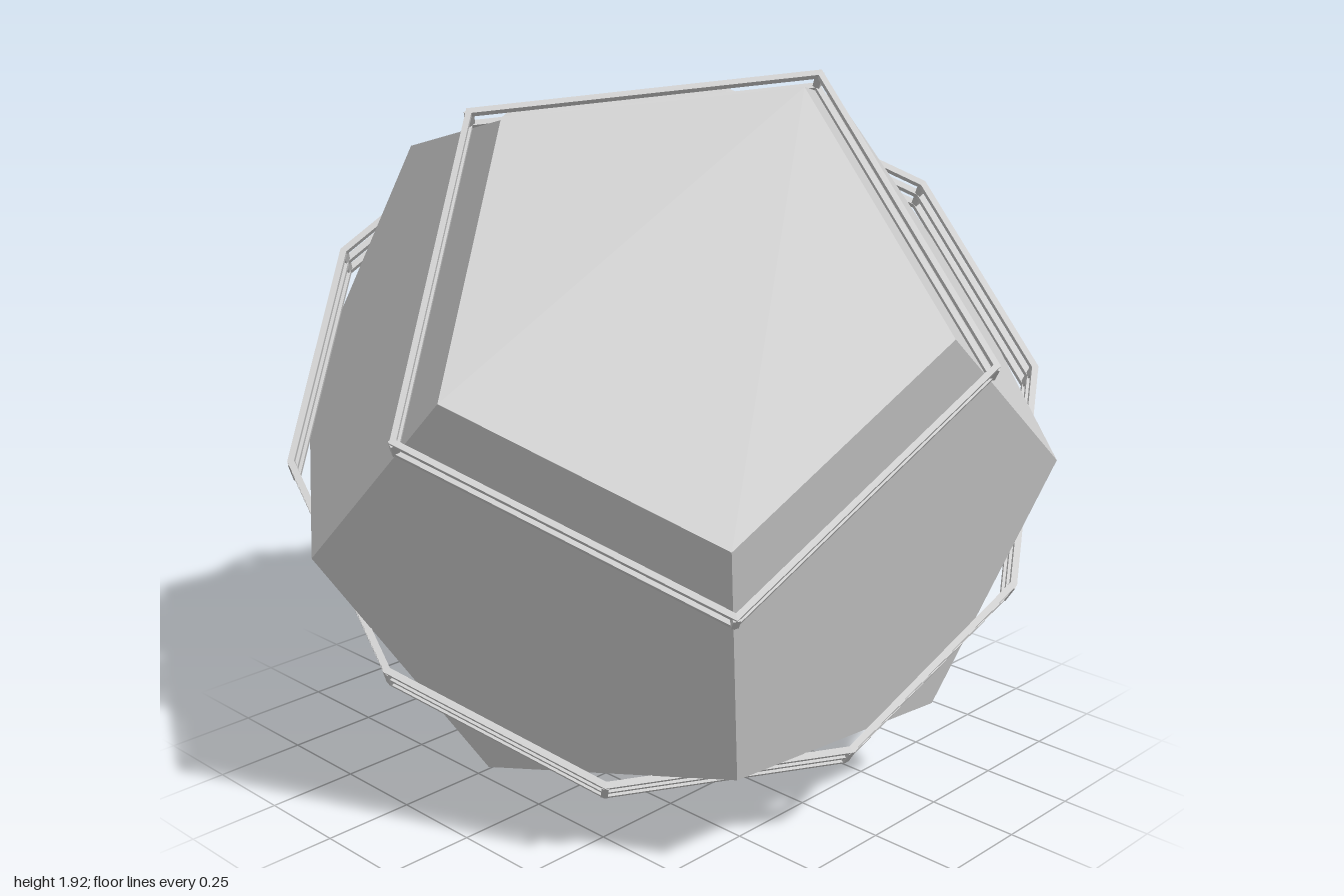
import * as THREE from 'three';
import { ConvexGeometry } from 'three/addons/geometries/ConvexGeometry.js';

const material = new THREE.MeshStandardMaterial({ color: 0xcccccc, flatShading: true });
const R = 1.035;   // corner radius of the solid
const BAR = 0.018; // thickness of the frame bars

function addMesh(parent, geometry, name) {
  const mesh = new THREE.Mesh(geometry, material);
  mesh.name = name;
  parent.add(mesh);
  return mesh;
}

// Regular solid with twelve faces, one pair of faces square to the y axis
function bodyGeometry() {
  const points = [];
  for (const sign of [1, -1]) {
    for (let i = 0; i < 5; i++) {
      const a = i * Math.PI * 0.4 + (sign < 0 ? Math.PI / 5 : 0);
      for (const [r, h] of [[0.60706, 0.79465], [0.98225, 0.18759]]) {
        points.push(new THREE.Vector3(R * r * Math.cos(a), R * h * sign, R * r * Math.sin(a)));
      }
    }
  }
  return new ConvexGeometry(points);
}

// Polygonal ring of square bar
function railGeometry(sides, radius, start) {
  const b = BAR / 2;
  const profile = [[b, -b], [b, b], [-b, b], [-b, -b], [b, -b]]
    .map(([x, y]) => new THREE.Vector2(radius + x, y));
  const geometry = new THREE.LatheGeometry(profile, sides, Math.PI / 2 + start).toNonIndexed();
  geometry.computeVertexNormals();
  return geometry;
}

// Open frame: rails at the given heights, joined by a post at each corner
function addFrame(parent, name, sides, radius, start, heights) {
  const frame = new THREE.Group();
  frame.name = name;
  const rail = railGeometry(sides, radius, start);
  for (const h of heights) addMesh(frame, rail, 'rail').position.y = h;
  const low = Math.min(...heights), high = Math.max(...heights);
  const post = new THREE.BoxGeometry(BAR, high - low, BAR);
  for (let i = 0; i < sides; i++) {
    const a = start + (i * 2 * Math.PI) / sides;
    const mesh = addMesh(frame, post, 'cornerPost');
    mesh.position.set(radius * Math.sin(a + Math.PI / 2), (low + high) / 2, radius * Math.cos(a + Math.PI / 2));
    mesh.rotation.y = a;
  }
  parent.add(frame);
}

export function createModel() {
  const model = new THREE.Group();
  model.name = 'framedDodecahedron';
  const solid = new THREE.Group();
  solid.name = 'tiltedSolid';
  model.add(solid);

  addMesh(solid, bodyGeometry(), 'body');
  addFrame(solid, 'upperFrame', 5, 0.747, 0, [0.65, 0.71]);
  addFrame(solid, 'middleFrame', 10, 1.01, Math.PI / 10, [-0.06, 0, 0.06]);
  addFrame(solid, 'lowerFrame', 5, 0.747, Math.PI / 5, [-0.71, -0.65]);

  // Tilt the main axis up, forward and to the left
  const axis = new THREE.Vector3(0.585, 0.617, 0.527).normalize();
  const corner = new THREE.Vector3(-0.424, -0.333, 0.85);
  corner.addScaledVector(axis, -corner.dot(axis)).normalize();
  const side = new THREE.Vector3().crossVectors(corner, axis);
  solid.quaternion.setFromRotationMatrix(new THREE.Matrix4().makeBasis(corner, axis, side));
  solid.position.y = 0.958;
  return model;
}
